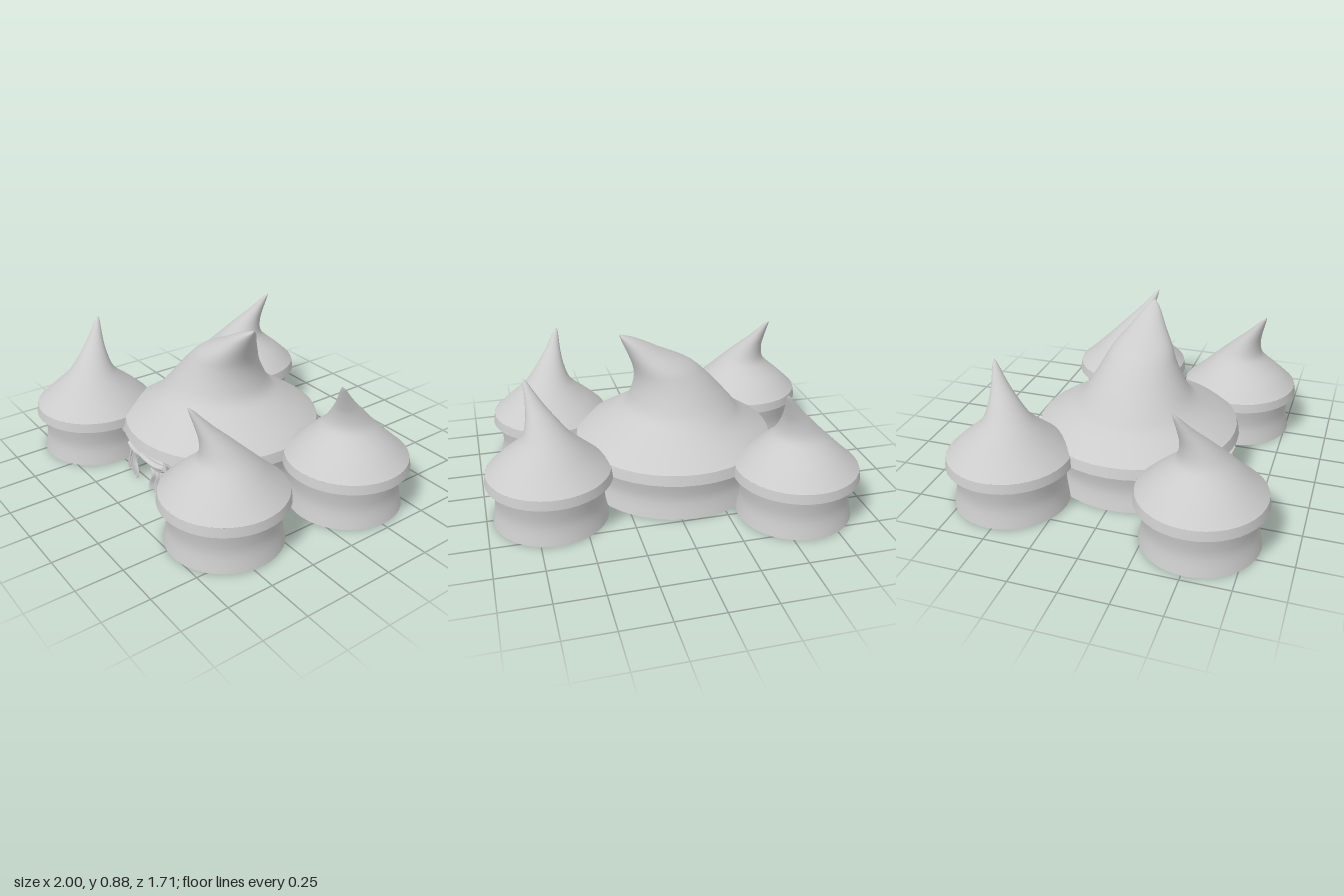
import * as THREE from 'three';

const cloth = new THREE.MeshStandardMaterial({ color: 0xcccccc, side: THREE.DoubleSide });

function part(name, geometry) {
  const mesh = new THREE.Mesh(geometry, cloth);
  mesh.name = name;
  return mesh;
}

// Smooth grid surface from a rule (u, v) -> [x, y, z]
function surface(rule, nu, nv) {
  const positions = [], index = [];
  for (let j = 0; j <= nv; j++) {
    for (let i = 0; i <= nu; i++) positions.push(...rule(i / nu, j / nv));
  }
  for (let j = 0; j < nv; j++) {
    for (let i = 0; i < nu; i++) {
      const a = j * (nu + 1) + i, b = a + nu + 1;
      index.push(a, a + 1, b, a + 1, b + 1, b);
    }
  }
  const g = new THREE.BufferGeometry();
  g.setAttribute('position', new THREE.Float32BufferAttribute(positions, 3));
  g.setIndex(index);
  g.computeVertexNormals();
  // Share the normal across the closing seam of round surfaces
  const p = g.attributes.position, n = g.attributes.normal;
  const first = new THREE.Vector3(), last = new THREE.Vector3();
  for (let j = 0; j <= nv; j++) {
    const a = j * (nu + 1), b = a + nu;
    first.fromBufferAttribute(p, a);
    last.fromBufferAttribute(p, b);
    if (first.distanceTo(last) > 1e-5) continue;
    first.fromBufferAttribute(n, a).add(last.fromBufferAttribute(n, b)).normalize();
    n.setXYZ(a, first.x, first.y, first.z);
    n.setXYZ(b, first.x, first.y, first.z);
  }
  return g;
}

// Roof whose rings [y, lean, radius] drift along +x towards a bent tip
function hornRoof(rings) {
  const curve = new THREE.CatmullRomCurve3(rings.map(r => new THREE.Vector3(...r)));
  return surface((u, v) => {
    const ring = curve.getPoint(v), a = -u * Math.PI * 2;
    const r = Math.max(ring.z, 0.001);
    return [ring.y + r * Math.cos(a), ring.x, r * Math.sin(a)];
  }, 40, 28);
}

const lathe = (pts, start = 0, length = Math.PI * 2) =>
  new THREE.LatheGeometry(pts.map(p => new THREE.Vector2(...p)), 40, start, length);

// Waisted wall, eave band, eave underside and leaning roof
function tent(name, { wall, eave, rings, lean, gap = 0 }) {
  const group = new THREE.Group();
  group.name = name;
  const wallCurve = new THREE.SplineCurve(wall.map(p => new THREE.Vector2(...p)));
  const profile = wallCurve.getPoints(10).map(p => [p.x, p.y]);
  group.add(part('wall', lathe(profile, gap, Math.PI * 2 - 2 * gap)));
  group.add(part('eaveUnderside', lathe([wall[wall.length - 1], eave[0]])));
  group.add(part('eaveBand', lathe(eave)));
  const roof = part('roof', hornRoof(rings));
  roof.rotation.y = lean;
  group.add(roof);
  return group;
}

// One half of the entrance: gathered curtain, swag and slanting pole
function curtainHalf(side) {
  const group = new THREE.Group();
  group.name = side > 0 ? 'leftCurtain' : 'rightCurtain';
  const mix = THREE.MathUtils.lerp;
  group.add(part('drape', surface((u, v) => {
    const tie = Math.exp(-Math.pow((v - 0.5) / 0.25, 2));
    const inner = 0.005 + 0.055 * v + 0.045 * tie;
    const outer = 0.165 + 0.04 * v - 0.01 * tie;
    const fold = 0.01 * Math.sin(u * Math.PI * 7) * (0.4 + v);
    return [side * mix(inner, outer, u), 0.205 * (1 - v), 0.505 - 0.03 * u + 0.02 * v + fold];
  }, 42, 14)));
  group.add(part('swag', surface((u, v) => {
    const sag = 0.03 + 0.055 * Math.sin(u * Math.PI * 0.8);
    const puff = 0.03 * Math.sin(v * Math.PI) + 0.006 * Math.sin(v * Math.PI * 5);
    return [side * mix(0, 0.175, u), 0.205 - sag * v, 0.515 - 0.03 * u + puff];
  }, 16, 14)));
  const polePath = new THREE.LineCurve3(
    new THREE.Vector3(side * 0.165, 0.205, 0.485), new THREE.Vector3(side * 0.21, 0, 0.5));
  group.add(part('pole', new THREE.TubeGeometry(polePath, 1, 0.008, 8)));
  return group;
}

export function createModel() {
  const model = new THREE.Group();
  model.name = 'tentCamp';

  // Large central tent with a doorway facing the front
  const main = tent('mainTent', {
    wall: [[0.51, 0], [0.49, 0.11], [0.51, 0.23]],
    eave: [[0.556, 0.23], [0.542, 0.285]],
    rings: [[0.285, 0, 0.542], [0.33, 0, 0.475], [0.4, -0.01, 0.37], [0.46, -0.03, 0.3],
      [0.55, -0.012, 0.24], [0.63, 0.02, 0.196], [0.69, 0.06, 0.165], [0.77, 0.155, 0.1],
      [0.845, 0.245, 0.042], [0.876, 0.297, 0.001]],
    lean: 0,
    gap: 0.36,
  });
  main.position.set(-0.08, 0, 0.015);
  const rail = part('doorRail', new THREE.BoxGeometry(0.53, 0.022, 0.03));
  rail.position.set(0, 0.215, 0.485);
  const floor = part('floorBoard', new THREE.BoxGeometry(0.4, 0.02, 0.27));
  floor.position.set(0.1, 0.01, -0.15);
  main.add(rail, floor, curtainHalf(1), curtainHalf(-1));
  model.add(main);

  // Four small tents: centre x, z and the direction of the tip's lean
  const corners = [
    ['backRightTent', -0.608, -0.52, 0.13, -0.12],
    ['backLeftTent', 0.66, -0.26, 0.08, 0.135],
    ['frontRightTent', -0.665, 0.517, -0.115, -0.12],
    ['frontLeftTent', 0.56, 0.455, -0.08, 0.145],
  ];
  for (const [name, x, z, dx, dz] of corners) {
    const small = tent(name, {
      wall: [[0.307, 0], [0.288, 0.11], [0.303, 0.23]],
      eave: [[0.335, 0.23], [0.326, 0.28]],
      rings: [[0.28, 0, 0.326], [0.35, 0.003, 0.25], [0.42, -0.003, 0.172], [0.47, 0.002, 0.124],
        [0.55, 0.042, 0.077], [0.62, 0.09, 0.045], [0.68, 0.13, 0.024], [0.715, 0.153, 0.012],
        [0.733, 0.167, 0.001]],
      lean: Math.atan2(-dz, dx),
    });
    small.position.set(x, 0, z);
    model.add(small);
  }
  return model;
}
